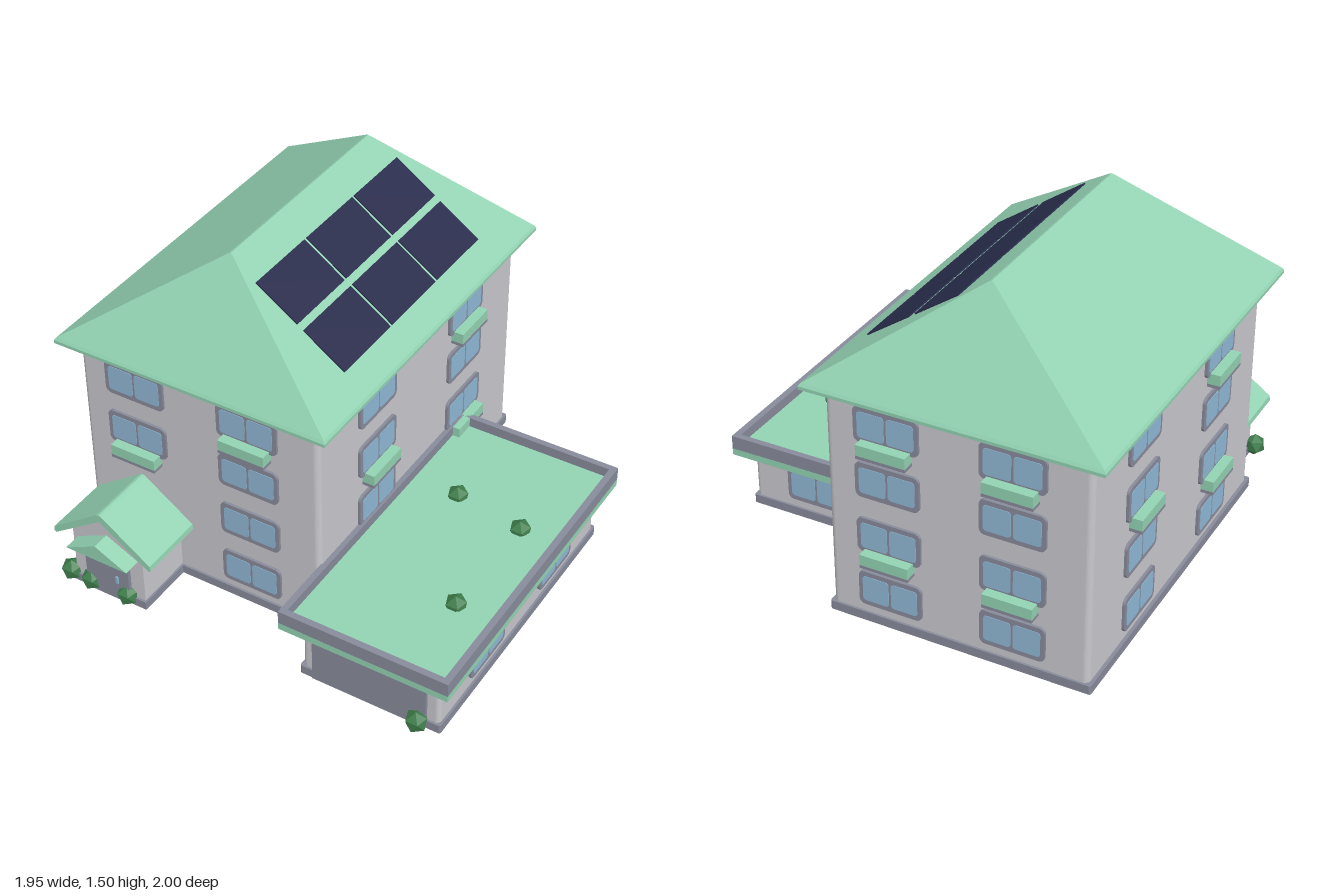
import * as THREE from 'three';
import { ConvexGeometry } from 'three/addons/geometries/ConvexGeometry.js';

const mat = (name, color, extra = {}) => {
  const m = new THREE.MeshStandardMaterial({ color, ...extra });
  m.name = name;
  return m;
};

export function createModel() {
  const model = new THREE.Group();
  model.name = 'apartmentHouse';
  const wall = mat('wall', 0xc9c8cd);
  const green = mat('mintGreen', 0x93d3b3);
  const grey = mat('slateGrey', 0x888b9b);
  const glass = mat('glass', 0x90b8d6);
  const solar = mat('solarNavy', 0x2a2d4c);
  const leaf = mat('leaf', 0x3f7d4c);
  leaf.flatShading = true;

  const add = (name, geo, material, parent = model) => {
    const mesh = new THREE.Mesh(geo, material);
    mesh.name = name;
    parent.add(mesh);
    return mesh;
  };
  // Box given by its limits
  const box = (name, x0, x1, y0, y1, z0, z1, material, parent = model) => {
    const m = add(name, new THREE.BoxGeometry(x1 - x0, y1 - y0, z1 - z0), material, parent);
    m.position.set((x0 + x1) / 2, (y0 + y1) / 2, (z0 + z1) / 2);
    return m;
  };
  const roundRect = (w, h, r) => {
    const s = new THREE.Shape(), a = w / 2 - r, b = h / 2 - r;
    s.absarc(a, b, r, 0, Math.PI / 2);
    s.absarc(-a, b, r, Math.PI / 2, Math.PI);
    s.absarc(-a, -b, r, Math.PI, Math.PI * 1.5);
    s.absarc(a, -b, r, Math.PI * 1.5, Math.PI * 2);
    s.closePath();
    return s;
  };
  const extrude = (shape, depth) =>
    new THREE.ExtrudeGeometry(shape, { depth, bevelEnabled: false, curveSegments: 4 });
  // Upright block with rounded vertical corners
  const block = (name, x0, x1, y0, y1, z0, z1, r, material) => {
    const geo = extrude(roundRect(x1 - x0, z1 - z0, r), y1 - y0);
    geo.rotateX(-Math.PI / 2);
    add(name, geo, material).position.set((x0 + x1) / 2, y0, (z0 + z1) / 2);
  };
  const polygon = (pts) => new THREE.Shape(pts.map(([x, y]) => new THREE.Vector2(x, y)));

  // Walls and plinths
  block('mainWalls', -0.905, 0.22, 0.01, 1.04, -0.93, 0.655, 0.025, wall);
  block('mainPlinth', -0.92, 0.23, 0, 0.04, -0.94, 0.665, 0.01, grey);
  block('annexWalls', 0.285, 0.905, 0.01, 0.265, -0.445, 0.89, 0.02, wall);
  block('annexPlinth', 0.275, 0.915, 0, 0.04, -0.455, 0.9, 0.01, grey);

  // Hipped roof with softened eaves and ridge
  const pts = [];
  for (const [inset, y] of [[0.012, 1.03], [0, 1.038], [0, 1.052], [0.008, 1.064]])
    for (const x of [-0.98 + inset, 0.29 - inset])
      for (const z of [-1 + inset, 0.722 - inset]) pts.push(new THREE.Vector3(x, y, z));
  for (const z of [-0.655, 0.38])
    for (const dx of [-0.012, 0.012]) pts.push(new THREE.Vector3(-0.345 + dx, 1.488, z));
  for (const z of [-0.65, 0.375]) pts.push(new THREE.Vector3(-0.345, 1.494, z));
  add('mainRoof', new ConvexGeometry(pts), green);

  // Solar panels lying on the right slope
  const panels = new THREE.Group();
  panels.name = 'solarPanels';
  panels.position.set(-0.02, 1.274, -0.138);
  panels.rotation.z = -Math.atan2(0.424, 0.615);
  model.add(panels);
  for (const u of [-0.129, 0.129])
    for (const z of [-0.361, 0, 0.361])
      box('solarPanel', u - 0.113, u + 0.113, -0.006, 0.004, z - 0.173, z + 0.173, solar, panels);

  // Windows: frame, two panes and an optional flower box
  const frameGeo = extrude(roundRect(0.28, 0.157, 0.025), 0.02);
  const paneGeo = extrude(roundRect(0.117, 0.115, 0.014), 0.004);
  const addWindow = (parent, u, y, withBox) => {
    const g = new THREE.Group();
    g.name = 'window';
    g.position.set(u, y, 0);
    parent.add(g);
    add('windowFrame', frameGeo, grey, g).position.z = -0.008;
    for (const s of [-1, 1]) add('windowPane', paneGeo, glass, g).position.set(s * 0.0635, 0, 0.01);
    if (withBox) {
      box('flowerBox', -0.107, 0.107, -0.113, -0.065, 0, 0.056, green, g);
      box('flowerBoxBase', -0.107, 0.107, -0.127, -0.113, 0, 0.056, grey, g);
    }
  };
  const facade = (name, x, z, angle) => {
    const g = new THREE.Group();
    g.name = name;
    g.position.set(x, 0, z);
    g.rotation.y = angle;
    model.add(g);
    return g;
  };
  const levels = [0.16, 0.415, 0.67, 0.92];
  // Each column: [offset, first level, levels with flower boxes]
  const sides = [
    ['frontFacade', -0.345, 0.655, 0, [[-0.295, 2, [2]], [0.24, 0, [3]]]],
    ['backFacade', -0.345, -0.93, Math.PI, [[-0.295, 0, [1, 3]], [0.24, 0, [1, 3]]]],
    ['leftFacade', 0.22, -0.137, Math.PI / 2, [[-0.36, 1, [2]], [0.36, 1, [1, 3]]]],
    ['rightFacade', -0.905, -0.137, -Math.PI / 2, [[-0.36, 0, [2]], [0.36, 0, [1, 3]]]],
    ['annexSide', 0.905, 0.225, Math.PI / 2, [[-0.295, 0, [], 1], [0.29, 0, [], 1]]],
    ['annexBack', 0.595, -0.445, Math.PI, [[0, 0, [], 1]]],
  ];
  for (const [name, x, z, angle, columns] of sides) {
    const g = facade(name, x, z, angle);
    for (const [u, first, boxes, count = 4] of columns)
      for (let i = first; i < count; i++) addWindow(g, u, levels[i], boxes.includes(i));
  }

  // Annex flat roof with parapet
  box('annexRoof', 0.215, 0.972, 0.258, 0.29, -0.51, 0.957, green);
  box('annexRoofDeck', 0.23, 0.96, 0.285, 0.305, -0.5, 0.945, green);
  const rim = polygon([[0.215, -0.957], [0.972, -0.957], [0.972, 0.51], [0.215, 0.51]]);
  rim.holes.push(new THREE.Path(
    [[0.243, -0.928], [0.243, 0.482], [0.943, 0.482], [0.943, -0.928]].map(([x, y]) => new THREE.Vector2(x, y))));
  const rimGeo = extrude(rim, 0.062);
  rimGeo.rotateX(-Math.PI / 2);
  add('annexParapet', rimGeo, grey).position.y = 0.288;

  // Doors with rounded tops
  const door = (name, x, w, z) => {
    const s = new THREE.Shape(), r = 0.025, h = 0.237;
    s.moveTo(-w / 2, 0.002);
    s.lineTo(w / 2, 0.002);
    s.absarc(w / 2 - r, h - r, r, 0, Math.PI / 2);
    s.absarc(-w / 2 + r, h - r, r, Math.PI / 2, Math.PI);
    s.closePath();
    add(name, extrude(s, 0.03), grey).position.set(x, 0, z - 0.015);
  };
  door('garageDoor', 0.593, 0.515, 0.89);
  box('garageWindowStrip', 0.48, 0.71, 0.208, 0.221, 0.9, 0.909, glass);

  // Entrance porch with gabled roof, door and canopy
  const px = -0.64;
  const porch = polygon([[-0.175, 0.01], [0.175, 0.01], [0.175, 0.3], [0, 0.43], [-0.175, 0.3]]);
  add('porchWalls', extrude(porch, 0.29), wall).position.set(px, 0, 0.63);
  box('porchPlinth', px - 0.183, px + 0.183, 0, 0.04, 0.64, 0.93, grey);
  const gable = polygon([
    [-0.243, 0.265], [-0.234, 0.258], [0, 0.42], [0.234, 0.258], [0.243, 0.265],
    [0.24, 0.288], [0.012, 0.45], [0, 0.454], [-0.012, 0.45], [-0.24, 0.288]]);
  add('porchRoof', extrude(gable, 0.31), green).position.set(px, 0, 0.647);
  door('entranceDoor', px, 0.215, 0.923);
  box('doorHandle', px + 0.046, px + 0.058, 0.095, 0.13, 0.935, 0.945, glass);
  add('doorCanopy', extrude(polygon([[-0.152, 0.245], [0.152, 0.245], [0, 0.32]]), 0.09), green)
    .position.set(px, 0, 0.91);

  // Shrubs at the entrances and on the annex roof
  const shrubGeo = new THREE.IcosahedronGeometry(0.05, 0);
  shrubGeo.rotateX(Math.atan((Math.sqrt(5) - 1) / 2) + 0.6);
  for (const [x, y, z] of [
    [-0.84, 0.042, 0.92], [-0.733, 0.042, 0.925], [-0.55, 0.042, 0.925], [0.82, 0.042, 0.92],
    [0.455, 0.302, -0.055], [0.777, 0.302, 0], [0.765, 0.302, 0.52]])
    add('shrub', shrubGeo, leaf).position.set(x, y, z);

  return model;
}
